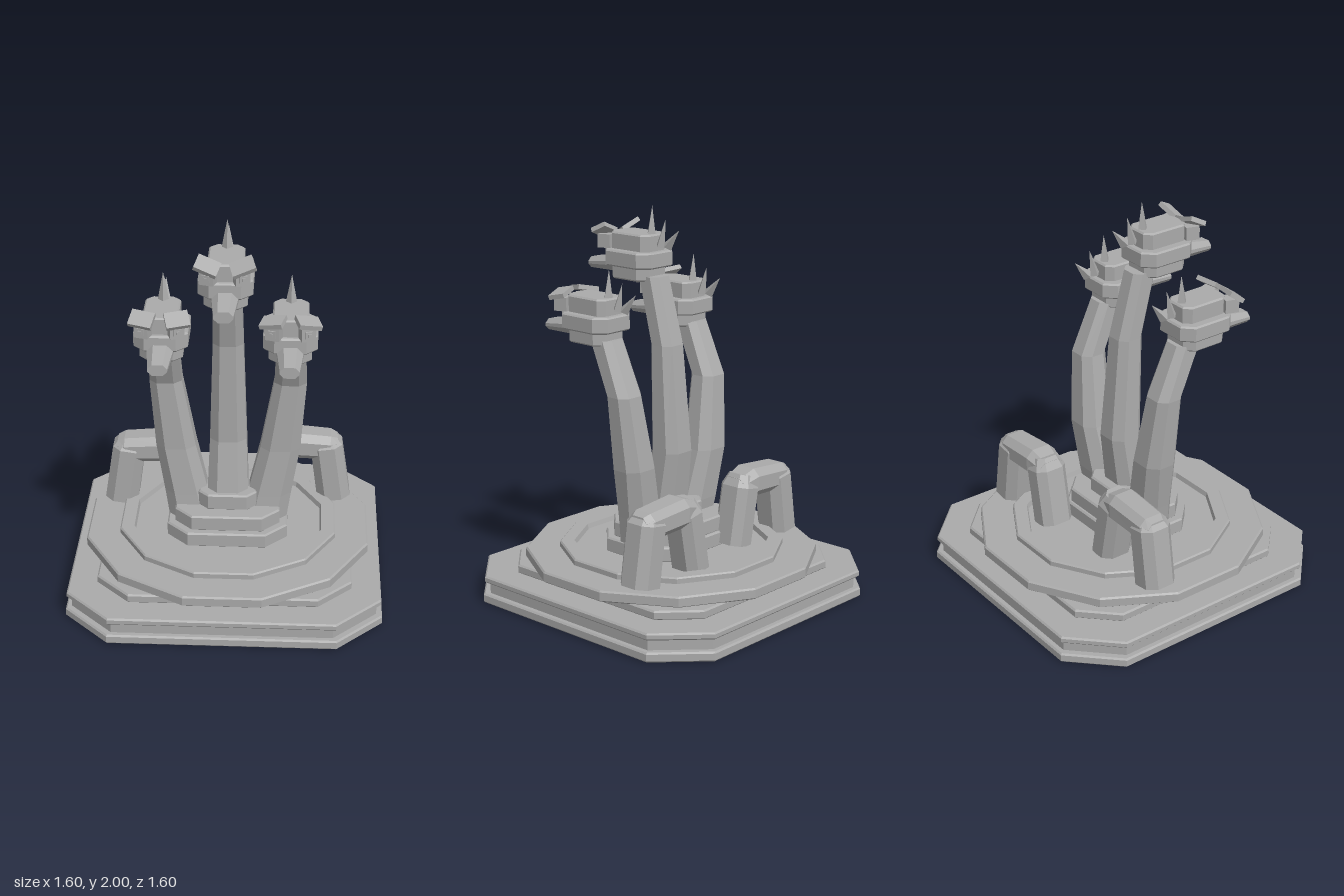
import * as THREE from 'three';

const stone = new THREE.MeshStandardMaterial({ color: 0xaaaaaa });
stone.name = 'grey stone';
const V = (x, y, z) => new THREE.Vector3(x, y, z);

// Mesh with flat facets
function flatMesh(name, geo) {
  const g = geo.index ? geo.toNonIndexed() : geo;
  g.computeVertexNormals();
  const m = new THREE.Mesh(g, stone);
  m.name = name;
  return m;
}

// Closed solid through a series of rings with equal point counts
function loft(name, rings) {
  const p = [];
  const tri = (...vs) => vs.forEach(v => p.push(v.x, v.y, v.z));
  const n = rings[0].length;
  for (let i = 0; i < rings.length - 1; i++) {
    for (let j = 0; j < n; j++) {
      const k = (j + 1) % n, a = rings[i], b = rings[i + 1];
      tri(a[j], b[j], a[k]);
      tri(a[k], b[j], b[k]);
    }
  }
  const cap = (ring, top) => {
    const c = ring.reduce((s, v) => s.add(v), V(0, 0, 0)).divideScalar(n);
    ring.forEach((v, j) => {
      const w = ring[(j + 1) % n];
      if (top) tri(c, w, v); else tri(c, v, w);
    });
  };
  cap(rings[0], false);
  cap(rings[rings.length - 1], true);
  const g = new THREE.BufferGeometry();
  g.setAttribute('position', new THREE.Float32BufferAttribute(p, 3));
  return flatMesh(name, g);
}

// Outlines: rectangle with cut corners, and twelve-sided disc
const cutRect = (hx, hz, c) => [
  [hx, c - hz], [hx, hz - c], [hx - c, hz], [c - hx, hz],
  [-hx, hz - c], [-hx, c - hz], [c - hx, -hz], [hx - c, -hz]];
const disc12 = half => Array.from({ length: 12 }, (_, i) => {
  const a = (15 + 30 * i) * Math.PI / 180, r = half / Math.cos(Math.PI / 12);
  return [r * Math.cos(a), r * Math.sin(a)];
});
const level = (outline, y, x = 0, z = 0) => outline.map(([a, b]) => V(x + a, y, z + b));

// Bevelled slab with cut corners
function slab(name, hx, hz, c, y0, y1, z = 0, b = 0.008) {
  const o = cutRect(hx, hz, c), s = cutRect(hx - b, hz - b, c - b * 0.6);
  return loft(name, [level(s, y0, 0, z), level(o, y0 + b, 0, z),
    level(o, y1 - b, 0, z), level(s, y1, 0, z)]);
}

// Neck: level rings along [x, y, z, halfWidth, halfDepth]
const neck = path => loft('neck', path.map(([x, y, z, w, d]) =>
  level(cutRect(w, d, w * 0.48), y, x, z)));

// Tail limb in the xy plane along [x, y, halfThickness]
function limb(name, pts, z, hz) {
  const rings = pts.map(([x, y, h], i) => {
    const a = pts[Math.max(i - 1, 0)], b = pts[Math.min(i + 1, pts.length - 1)];
    const t = V(b[0] - a[0], b[1] - a[1], 0).normalize();
    const d = hz * Math.min(1, h / 0.08);
    return cutRect(h, d, h * 0.5).map(([u, v]) => V(x + t.y * u, y - t.x * u, z + v));
  });
  return loft(name, rings);
}

function makeHead(browRoll, browPitch) {
  const head = new THREE.Group();
  head.name = 'head';
  head.add(slab('jaw', 0.105, 0.127, 0.045, 0, 0.075, 0.005));
  head.add(slab('cheeks', 0.132, 0.16, 0.055, 0.067, 0.15, 0.005));
  head.add(slab('crown', 0.087, 0.132, 0.035, 0.14, 0.235, 0.01));

  // Tapered snout
  const snout = [[0.12, 0.068, 0.068, 0.045], [0.32, 0.047, 0.047, 0.028]].map(([z, y, w, h]) =>
    cutRect(w, h, h * 0.75).map(([u, v]) => V(u, y - v, z)));
  head.add(loft('snout', snout));

  // Eyes and brows, mirrored
  for (const s of [-1, 1]) {
    const face = new THREE.Group();
    face.name = 'eyeGroup';
    face.position.set(s * 0.076, 0.185, 0.15);
    face.rotation.y = s * 0.3;
    const box = (name, w, h, d, x, y, z) => {
      const m = flatMesh(name, new THREE.BoxGeometry(w, h, d));
      m.position.set(x, y, z);
      face.add(m);
      return m;
    };
    box('eye', 0.07, 0.07, 0.07, 0, 0, 0.005);
    box('eyeRim', 0.036, 0.036, 0.01, 0, 0, 0.043);
    box('pupil', 0.016, 0.016, 0.01, 0, 0, 0.049);
    const brow = box('brow', 0.115, 0.024, 0.085, s * 0.004, 0.052, 0.015);
    brow.rotation.set(browPitch, 0, s * browRoll);
    head.add(face);
  }

  // Crest spikes leaning further back
  const spikes = [[0.23, -0.085, 0.376, -0.09], [0.175, -0.148, 0.315, -0.18], [0.18, -0.195, 0.27, -0.272]];
  for (const [y0, z0, y1, z1] of spikes) {
    const len = Math.hypot(y1 - y0, z1 - z0);
    const m = flatMesh('spike', new THREE.ConeGeometry(0.028, len, 4));
    m.position.set(0, (y0 + y1) / 2, (z0 + z1) / 2);
    m.rotation.x = Math.atan2(z1 - z0, y1 - y0);
    head.add(m);
  }
  return head;
}

export function createModel() {
  const model = new THREE.Group();
  model.name = 'threeHeadedSerpentStatue';

  // Stepped plinth
  model.add(slab('plinthFoot', 0.8, 0.8, 0.23, 0, 0.05));
  model.add(slab('plinthGroove', 0.77, 0.77, 0.22, 0.045, 0.115, 0, 0.002));
  model.add(slab('plinthTop', 0.793, 0.793, 0.228, 0.107, 0.143));
  model.add(slab('lowerStep', 0.645, 0.645, 0.17, 0.14, 0.188));
  model.add(loft('wideDisc', [[0.72, 0.185], [0.73, 0.193], [0.73, 0.235], [0.722, 0.243]]
    .map(([r, y]) => level(disc12(r), y))));
  model.add(loft('poolRing', [[0.56, 0.24], [0.56, 0.268], [0.553, 0.275], [0.487, 0.275], [0.48, 0.25]]
    .map(([r, y]) => level(disc12(r), y))));

  // Pedestal under the necks
  model.add(slab('pedestalBase', 0.31, 0.24, 0.11, 0.245, 0.325, 0.035));
  model.add(slab('pedestalMiddle', 0.27, 0.215, 0.09, 0.32, 0.405, 0.025));
  model.add(slab('pedestalTop', 0.15, 0.14, 0.05, 0.4, 0.488, 0.022));

  // Middle neck, then the mirrored outer necks
  model.add(neck([[0, 0.4, 0.05, 0.108, 0.1], [0, 0.76, -0.003, 0.094, 0.09],
    [0, 1.31, 0.03, 0.077, 0.072], [0, 1.65, 0.12, 0.07, 0.07]]));
  for (const s of [-1, 1]) {
    model.add(neck([[s * 0.18, 0.25, 0.045, 0.115, 0.085], [s * 0.215, 0.46, 0.025, 0.112, 0.09],
      [s * 0.268, 0.72, 0.01, 0.102, 0.092], [s * 0.315, 1.1, 0.03, 0.082, 0.075],
      [s * 0.314, 1.37, 0.15, 0.071, 0.075]]));
  }

  // Heads with differing brows
  for (const [x, y, roll, pitch] of [[0, 1.624, 0.42, 0.45], [-0.312, 1.344, 0.1, 0.6], [0.312, 1.344, -0.2, 0.2]]) {
    const head = makeHead(roll, pitch);
    head.position.set(x, y, 0.22);
    model.add(head);
  }

  // Arched tail pieces rising behind
  for (const [s, cx, z] of [[-1, -0.405, -0.23], [1, 0.375, -0.302]]) {
    const at = pts => pts.map(([x, y, h]) => [cx + s * x, y, h]);
    const tail = new THREE.Group();
    tail.name = 'tailArch';
    tail.add(limb('outerLeg', at([[0.18, 0.25, 0.088], [0.135, 0.56, 0.085], [0.13, 0.6, 0.055]]), z, 0.09));
    tail.add(limb('archBeam', at([[0.2, 0.555, 0.05], [0.155, 0.55, 0.07],
      [-0.08, 0.565, 0.075], [-0.17, 0.545, 0.06]]), z, 0.094));
    tail.add(limb('innerLeg', at([[-0.185, 0.25, 0.08], [-0.13, 0.55, 0.08], [-0.115, 0.61, 0.055]]), z, 0.09));
    model.add(tail);
  }
  return model;
}
